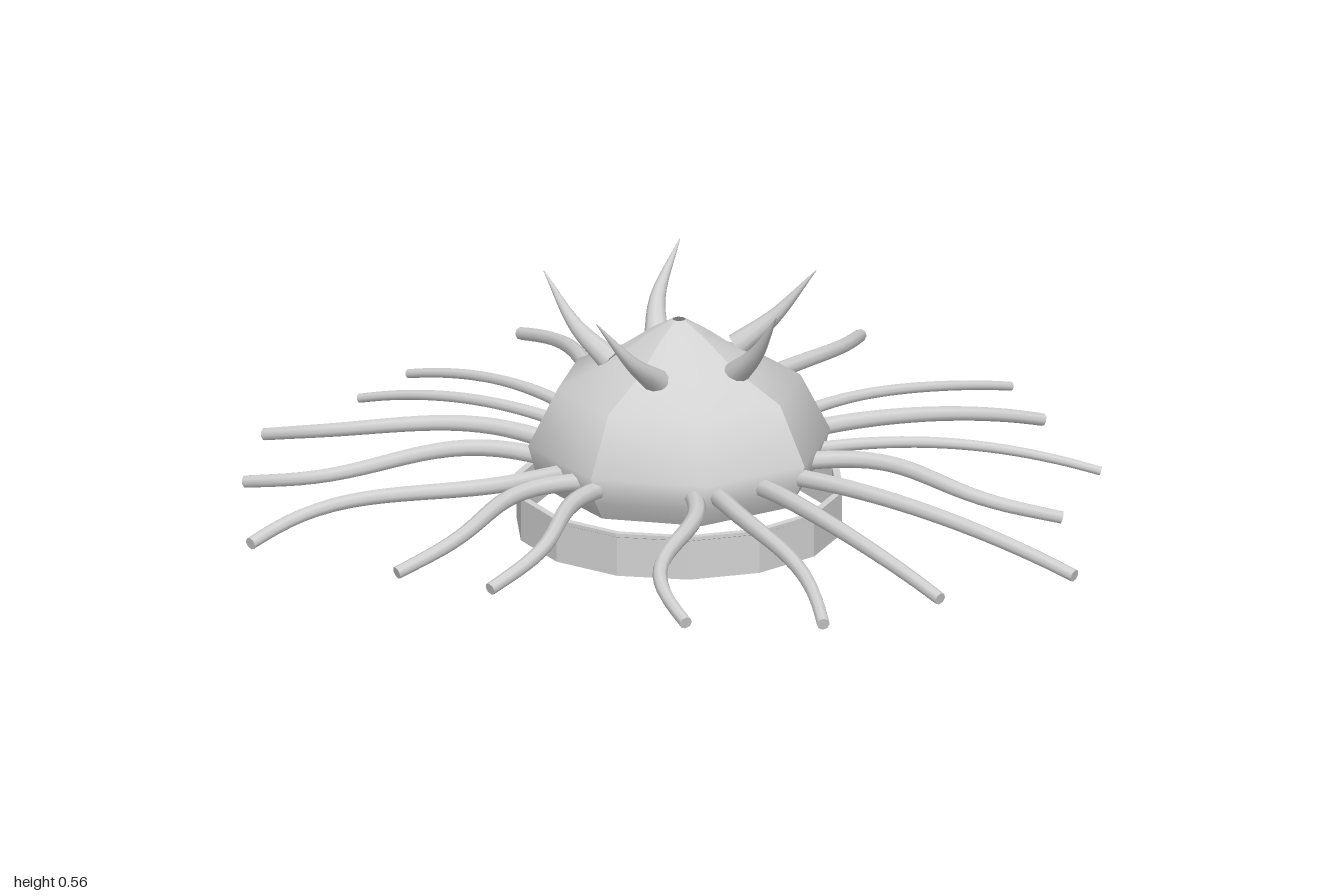
import * as THREE from 'three';

const CX = -0.083, CZ = 0.055; // axis of the dome and ring

// Round tube whose radius runs from r0 to r1, with flat end caps
function taperedTube(curve, r0, r1, segments, sides, material, name) {
  const group = new THREE.Group();
  group.name = name;
  const geo = new THREE.TubeGeometry(curve, segments, 1, sides, false);
  const pos = geo.attributes.position, v = new THREE.Vector3();
  for (let i = 0; i <= segments; i++) {
    const t = i / segments, c = curve.getPointAt(t);
    const r = r0 + (r1 - r0) * t;
    for (let j = 0; j <= sides; j++) {
      const k = i * (sides + 1) + j;
      v.fromBufferAttribute(pos, k).sub(c).multiplyScalar(r).add(c);
      pos.setXYZ(k, v.x, v.y, v.z);
    }
  }
  const tube = new THREE.Mesh(geo, material);
  tube.name = name + 'Body';
  group.add(tube);
  for (const [t, r, dir] of [[0, r0, -1], [1, r1, 1]]) {
    const cap = new THREE.Mesh(new THREE.CircleGeometry(r, sides), material);
    cap.name = name + 'Cap';
    cap.position.copy(curve.getPointAt(t));
    cap.lookAt(cap.position.clone().addScaledVector(curve.getTangentAt(t), dir));
    group.add(cap);
  }
  return group;
}

// Tentacles: root angle in degrees, tip x, tip z, bow (C bend), sway (S bend)
const TENTACLES = [
  [-106, -0.3, -0.95, 0.031, -0.018],
  [-118, -0.46, -0.71, 0.025, -0.02],
  [-76, 0.165, -0.865, -0.007, -0.009],
  [-62, 0.35, -0.725, 0.017, 0],
  [-39, 0.65, -0.52, -0.016, 0],
  [-24, 0.755, -0.22, 0.026, -0.039],
  [-2, 1, 0.08, 0.008, 0],
  [17, 0.845, 0.375, 0.023, 0],
  [39, 0.73, 0.66, -0.016, 0.014],
  [49, 0.477, 0.827, 0.037, -0.034],
  [90, -0.005, 0.892, -0.027, 0.022],
  [103, -0.235, 0.923, 0, 0.028],
  [116, -0.61, 0.95, 0.009, -0.044],
  [139, -0.855, 0.62, -0.03, 0.054],
  [160, -1, 0.34, -0.004, 0.029],
  [181, -0.965, 0.025, 0, 0],
  [193, -0.97, -0.17, 0.015, 0],
  [215, -0.92, -0.53, 0.009, -0.018],
];
const THIN = [2, 4, 15, 16]; // the slimmer tentacles

// Path from the dome wall to the tip: bent sideways, arched in height
function tentaclePath([angle, tipX, tipZ, bow, sway]) {
  const a = THREE.MathUtils.degToRad(angle);
  const x0 = CX + 0.3 * Math.cos(a), z0 = CZ + 0.3 * Math.sin(a);
  const dx = tipX - x0, dz = tipZ - z0, length = Math.hypot(dx, dz);
  const points = [];
  for (let i = 0; i <= 10; i++) {
    const t = i / 10;
    const side = (bow * Math.sin(Math.PI * t) + sway * Math.sin(2 * Math.PI * t)) / length;
    const y = 0.179 - 0.071 * ((t - 0.25) / 0.75) ** 2;
    points.push(new THREE.Vector3(x0 + dx * t - dz * side, y, z0 + dz * t + dx * side));
  }
  return new THREE.CatmullRomCurve3(points);
}

// Horns: base, bend and tip as [x, z] pairs
const HORNS = [
  [[-0.21, -0.04], [-0.25, -0.1], [-0.26, -0.2]],
  [[-0.035, -0.1], [0.03, -0.15], [0.107, -0.2]],
  [[0.07, 0.055], [0.14, 0.075], [0.215, 0.105]],
  [[-0.04, 0.2], [-0.045, 0.29], [-0.085, 0.37]],
  [[-0.21, 0.14], [-0.29, 0.155], [-0.385, 0.145]],
];
const HORN_HEIGHTS = [0.385, 0.452, 0.56];

export function createModel() {
  const root = new THREE.Group();
  root.name = 'spikedAnemone';
  const grey = new THREE.MeshStandardMaterial({ color: 0xd2d2d2, side: THREE.DoubleSide });
  grey.name = 'grey';

  // Eight-sided dome in four quarter shells, open below and at the very top
  const dome = new THREE.Group();
  dome.name = 'dome';
  dome.position.set(CX, 0, CZ);
  const profile = [[0.295, 0.1], [0.322, 0.145], [0.338, 0.205], [0.272, 0.335],
    [0.15, 0.393], [0.07, 0.45], [0.015, 0.482]].map(p => new THREE.Vector2(...p));
  for (let q = 0; q < 4; q++) {
    const geo = new THREE.LatheGeometry(profile, 2, q * Math.PI / 2, Math.PI / 2);
    geo.computeVertexNormals();
    const shell = new THREE.Mesh(geo, grey);
    shell.name = 'domeQuarter';
    dome.add(shell);
  }
  root.add(dome);

  // Thin faceted base ring with a small lip
  const ringProfile = [[0.352, 0], [0.364, 0], [0.364, 0.09], [0.368, 0.092],
    [0.368, 0.1], [0.352, 0.1], [0.352, 0]].map(p => new THREE.Vector2(...p));
  const ringGeo = new THREE.LatheGeometry(ringProfile, 14, Math.PI / 14).toNonIndexed();
  ringGeo.computeVertexNormals();
  const ring = new THREE.Mesh(ringGeo, grey);
  ring.name = 'baseRing';
  ring.position.set(CX, 0, CZ);
  root.add(ring);

  // Drooping tentacles around the rim
  TENTACLES.forEach((spec, i) => {
    const r = THIN.includes(i) ? 0.015 : 0.021;
    root.add(taperedTube(tentaclePath(spec), r, r * 0.68, 20, 8, grey, 'tentacle'));
  });

  // Curved pointed horns on the crown
  for (const horn of HORNS) {
    const points = horn.map(([x, z], i) => new THREE.Vector3(x, HORN_HEIGHTS[i], z));
    const path = new THREE.CatmullRomCurve3(points);
    root.add(taperedTube(path, 0.029, 0.001, 10, 10, grey, 'horn'));
  }
  return root;
}
